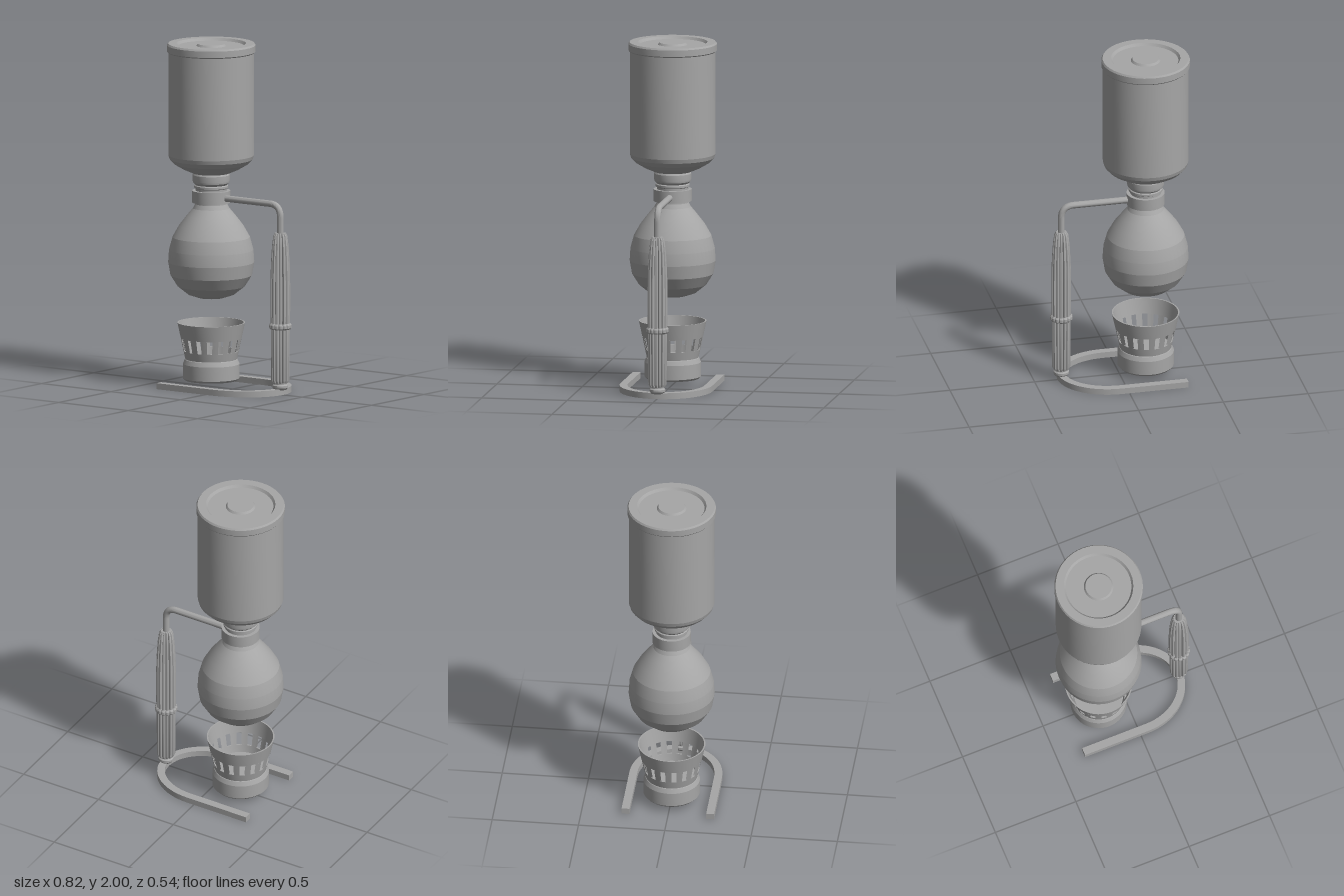
import * as THREE from 'three';
import { toCreasedNormals } from 'three/addons/utils/BufferGeometryUtils.js';

const CX = -0.155; // axis of the vessels and burner
const HX = 0.343;  // axis of the handle

export function createModel() {
  const group = new THREE.Group();
  const grey = new THREE.MeshStandardMaterial({ color: 0xa6a6a6, side: THREE.DoubleSide });
  grey.name = 'plain grey';

  const add = (name, geometry, x = 0, crease = 0.2) => {
    const mesh = new THREE.Mesh(toCreasedNormals(geometry, crease), grey);
    mesh.name = name;
    mesh.position.x = x;
    group.add(mesh);
    return mesh;
  };
  const lathe = (profile, segments = 48, start = 0, length = Math.PI * 2) =>
    new THREE.LatheGeometry(profile.map(([r, y]) => new THREE.Vector2(r, y)), segments, start, length);

  // Lid with a recessed top and a raised centre button
  add('lid', lathe([
    [0, 1.947], [0.25, 1.947], [0.255, 1.953], [0.255, 1.99], [0.248, 2], [0.2, 2], [0.189, 1.985],
    [0.085, 1.985], [0.076, 1.997], [0, 1.997],
  ]), CX);

  // Upper jar
  add('upperJar', lathe([
    [0, 1.243], [0.106, 1.245], [0.16, 1.268], [0.215, 1.3], [0.24, 1.327], [0.247, 1.35], [0.247, 1.948], [0, 1.948],
  ]), CX);

  // Stopper and clamp collar between the vessels
  add('stopper', lathe([
    [0, 1.13], [0.09, 1.13], [0.09, 1.155], [0.098, 1.16], [0.098, 1.172], [0.092, 1.177], [0.105, 1.19],
    [0.107, 1.2], [0.107, 1.235], [0.1, 1.247], [0, 1.247],
  ]), CX);
  add('collar', lathe([[0, 1.074], [0.11, 1.074], [0.11, 1.143], [0, 1.143]]), CX);

  // Lower bulb
  add('lowerBulb', lathe([
    [0, 0.52], [0.075, 0.52], [0.135, 0.54], [0.195, 0.588], [0.235, 0.652], [0.248, 0.728], [0.243, 0.8],
    [0.223, 0.873], [0.185, 0.94], [0.14, 0.998], [0.105, 1.04], [0.092, 1.065], [0.09, 1.09], [0, 1.09],
  ]), CX);

  // Burner body
  add('burnerBase', lathe([
    [0, 0.04], [0.152, 0.04], [0.163, 0.052], [0.163, 0.135], [0.152, 0.16], [0.14, 0.168], [0, 0.168],
  ]), CX);

  // Flared burner guard: two solid bands joined by posts, leaving slots
  const wall = (y) => 0.15 + (y - 0.165) * 0.214;
  const band = (y0, y1) => [
    [wall(y0) - 0.008, y0], [wall(y0), y0], [wall(y1), y1], [wall(y1) - 0.008, y1], [wall(y0) - 0.008, y0],
  ];
  add('guardLowerBand', lathe(band(0.163, 0.21)), CX);
  add('guardUpperBand', lathe(band(0.285, 0.375)), CX);
  const slots = 16, step = Math.PI * 2 / slots;
  for (let i = 0; i < slots; i++) {
    add('guardPost', lathe(band(0.21, 0.285), 3, (i - 0.26) * step, step * 0.52), CX);
  }

  // U-shaped foot
  const outline = [[-0.348, 0.268]];
  const arc = (a, b, from, to) => {
    for (let i = 0; i <= 32; i++) {
      const t = from + (to - from) * i / 32;
      outline.push([0.05 + a * Math.cos(t), b * Math.sin(t)]);
    }
  };
  arc(0.315, 0.268, Math.PI / 2, -Math.PI / 2);
  outline.push([-0.348, -0.268], [-0.348, -0.222]);
  arc(0.272, 0.222, -Math.PI / 2, Math.PI / 2);
  outline.push([-0.348, 0.222]);
  const foot = new THREE.ExtrudeGeometry(
    new THREE.Shape(outline.map(([x, y]) => new THREE.Vector2(x, y))), { depth: 0.035, bevelEnabled: false });
  foot.rotateX(-Math.PI / 2);
  add('foot', foot, 0, 0.4);

  // Fluted handle parts: a lathe whose radius is scalloped around the axis
  const fluted = (profile, depth) => {
    const g = lathe(profile, 112);
    const p = g.attributes.position;
    for (let i = 0; i < p.count; i++) {
      const x = p.getX(i), z = p.getZ(i);
      const groove = 1 - Math.abs(Math.cos(Math.atan2(z, x) * 7));
      const k = 1 - depth * groove * groove;
      p.setX(i, x * k);
      p.setZ(i, z * k);
    }
    return g;
  };
  add('handleUpper', fluted([
    [0, 0.4], [0.056, 0.4], [0.058, 0.5], [0.058, 0.64], [0.055, 0.76], [0.049, 0.86], [0.041, 0.925], [0.032, 0.942], [0, 0.942],
  ], 0.22), HX, 0.5);
  add('handleRing', fluted([
    [0, 0.382], [0.058, 0.382], [0.065, 0.39], [0.065, 0.407], [0.058, 0.416], [0, 0.416],
  ], 0.12), HX, 0.5);
  add('handleLower', fluted([
    [0, 0.07], [0.046, 0.07], [0.053, 0.085], [0.055, 0.39], [0, 0.39],
  ], 0.22), HX, 0.5);
  add('handleFoot', lathe([
    [0, 0.03], [0.036, 0.03], [0.045, 0.042], [0.045, 0.055], [0.037, 0.062], [0.037, 0.08], [0, 0.08],
  ], 32), HX);

  // Bent support arm from the collar into the handle
  const path = new THREE.CurvePath();
  const v = (x, y) => new THREE.Vector3(x, y, 0);
  path.add(new THREE.LineCurve3(v(-0.07, 1.105), v(0.27, 1.105)));
  path.add(new THREE.CubicBezierCurve3(v(0.27, 1.105), v(0.318, 1.105), v(HX, 1.08), v(HX, 1.032)));
  path.add(new THREE.LineCurve3(v(HX, 1.032), v(HX, 0.92)));
  add('supportArm', new THREE.TubeGeometry(path, 64, 0.019, 16), 0, 0.6);

  return group;
}
